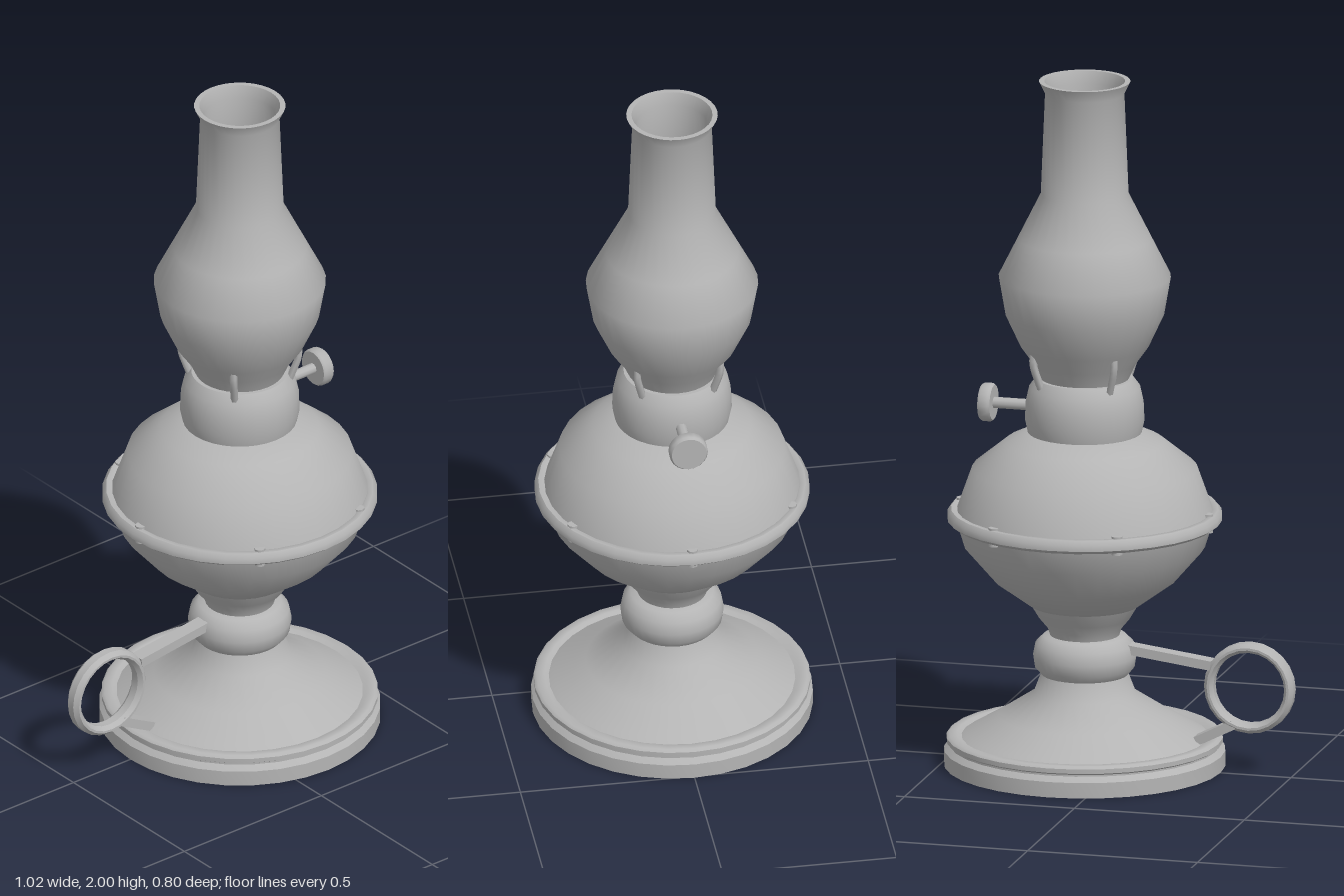
import * as THREE from 'three';
import { toCreasedNormals } from 'three/addons/utils/BufferGeometryUtils.js';

export function createModel() {
  const metal = new THREE.MeshStandardMaterial({ color: 0xb4b4b4 });
  metal.name = 'grey';
  const model = new THREE.Group();
  model.name = 'oilLamp';

  // everything but the handle turns around one upright axis
  const lamp = new THREE.Group();
  lamp.name = 'lampBody';
  lamp.position.x = 0.107;
  model.add(lamp);

  const add = (parent, name, geometry) => {
    const mesh = new THREE.Mesh(geometry, metal);
    mesh.name = name;
    parent.add(mesh);
    return mesh;
  };
  const turned = (name, profile, sides = 32) => add(lamp, name, toCreasedNormals(
    new THREE.LatheGeometry(profile.map(([r, y]) => new THREE.Vector2(r, y)), sides), 0.75));

  // foot
  turned('base', [[0, 0], [0.4, 0], [0.4, 0.045], [0.385, 0.06], [0.385, 0.065],
    [0.393, 0.07], [0.393, 0.083], [0.385, 0.09], [0.362, 0.09], [0.352, 0.083], [0, 0.083]]);
  turned('foot', [[0.355, 0.08], [0.335, 0.092], [0.245, 0.145], [0.145, 0.21], [0.123, 0.268]]);
  turned('stemKnob', [[0.08, 0.265], [0.123, 0.265], [0.142, 0.287], [0.147, 0.32],
    [0.14, 0.355], [0.118, 0.377], [0.09, 0.382]]);
  turned('neck', [[0.096, 0.37], [0.105, 0.4], [0.13, 0.43], [0.157, 0.475]]);

  // oil bowl
  turned('lowerBowl', [[0, 0.47], [0.157, 0.47], [0.26, 0.545], [0.342, 0.64], [0.365, 0.715]]);
  turned('bowlRim', [[0.35, 0.71], [0.378, 0.71], [0.391, 0.72], [0.391, 0.737],
    [0.38, 0.75], [0.366, 0.75], [0.355, 0.74]]);
  turned('upperBowl', [[0.367, 0.735], [0.32, 0.868], [0.225, 0.945], [0.155, 0.978], [0, 0.978]]);
  for (let i = 0; i < 6; i++) {
    const a = i * Math.PI / 3;
    const rivet = add(lamp, 'rivet', new THREE.CylinderGeometry(0.016, 0.016, 0.054, 8));
    rivet.position.set(0.362 * Math.cos(a), 0.729, 0.362 * Math.sin(a));
  }

  // burner
  turned('burnerCollar', [[0, 0.972], [0.162, 0.972], [0.17, 1.01], [0.168, 1.06],
    [0.158, 1.105], [0.138, 1.132], [0, 1.132]]);
  turned('flame', [[0.03, 1.13], [0.06, 1.17], [0.07, 1.21], [0.05, 1.28], [0.02, 1.34], [0, 1.37]], 8);
  for (let i = 0; i < 4; i++) {
    const spoke = new THREE.Group();
    spoke.name = 'chimneyProng';
    spoke.rotation.y = Math.PI / 4 + i * Math.PI / 2;
    const path = new THREE.CatmullRomCurve3([[0.137, 1.1], [0.152, 1.14], [0.168, 1.19], [0.166, 1.235]]
      .map(([x, y]) => new THREE.Vector3(x, y, 0)));
    add(spoke, 'prong', new THREE.TubeGeometry(path, 8, 0.011, 6));
    lamp.add(spoke);
  }

  // wick wheel on the left
  const shaft = add(lamp, 'wickShaft', new THREE.CylinderGeometry(0.016, 0.016, 0.13, 10));
  shaft.rotation.z = -Math.PI / 2;
  shaft.position.set(0.215, 1.04, 0);
  const wheel = turned('wickWheel', [[0, 0], [0.05, 0], [0.055, 0.006], [0.055, 0.029],
    [0.05, 0.036], [0, 0.036]], 20);
  wheel.rotation.z = -Math.PI / 2;
  wheel.position.set(0.267, 1.04, 0);

  // glass chimney with an inner wall
  turned('chimney', [[0.123, 1.125], [0.146, 1.175], [0.182, 1.225], [0.226, 1.32], [0.245, 1.43],
    [0.19, 1.54], [0.125, 1.67], [0.113, 1.965], [0.13, 2], [0.115, 2], [0.102, 1.965],
    [0.114, 1.67], [0.18, 1.535], [0.234, 1.43], [0.215, 1.32], [0.172, 1.23], [0.135, 1.18],
    [0.112, 1.13]]);

  // finger ring and its two struts
  const handle = new THREE.Group();
  handle.name = 'handle';
  model.add(handle);
  const ringProfile = [[0.104, -0.012], [0.114, -0.025], [0.121, -0.025], [0.132, -0.012],
    [0.132, 0.012], [0.121, 0.025], [0.114, 0.025], [0.104, 0.012], [0.104, -0.012]];
  const ring = add(handle, 'fingerRing', toCreasedNormals(new THREE.LatheGeometry(
    ringProfile.map(([r, y]) => new THREE.Vector2(r, y)), 24), 0.5));
  ring.rotation.x = Math.PI / 2;
  ring.position.set(-0.379, 0.256, 0);
  const strut = (name, x0, y0, x1, y1) => {
    const bar = add(handle, name, new THREE.BoxGeometry(Math.hypot(x1 - x0, y1 - y0), 0.027, 0.044));
    bar.position.set((x0 + x1) / 2, (y0 + y1) / 2, 0);
    bar.rotation.z = Math.atan2(y1 - y0, x1 - x0);
  };
  strut('upperStrut', -0.268, 0.316, -0.025, 0.347);
  strut('lowerStrut', -0.335, 0.148, -0.225, 0.092);

  return model;
}
